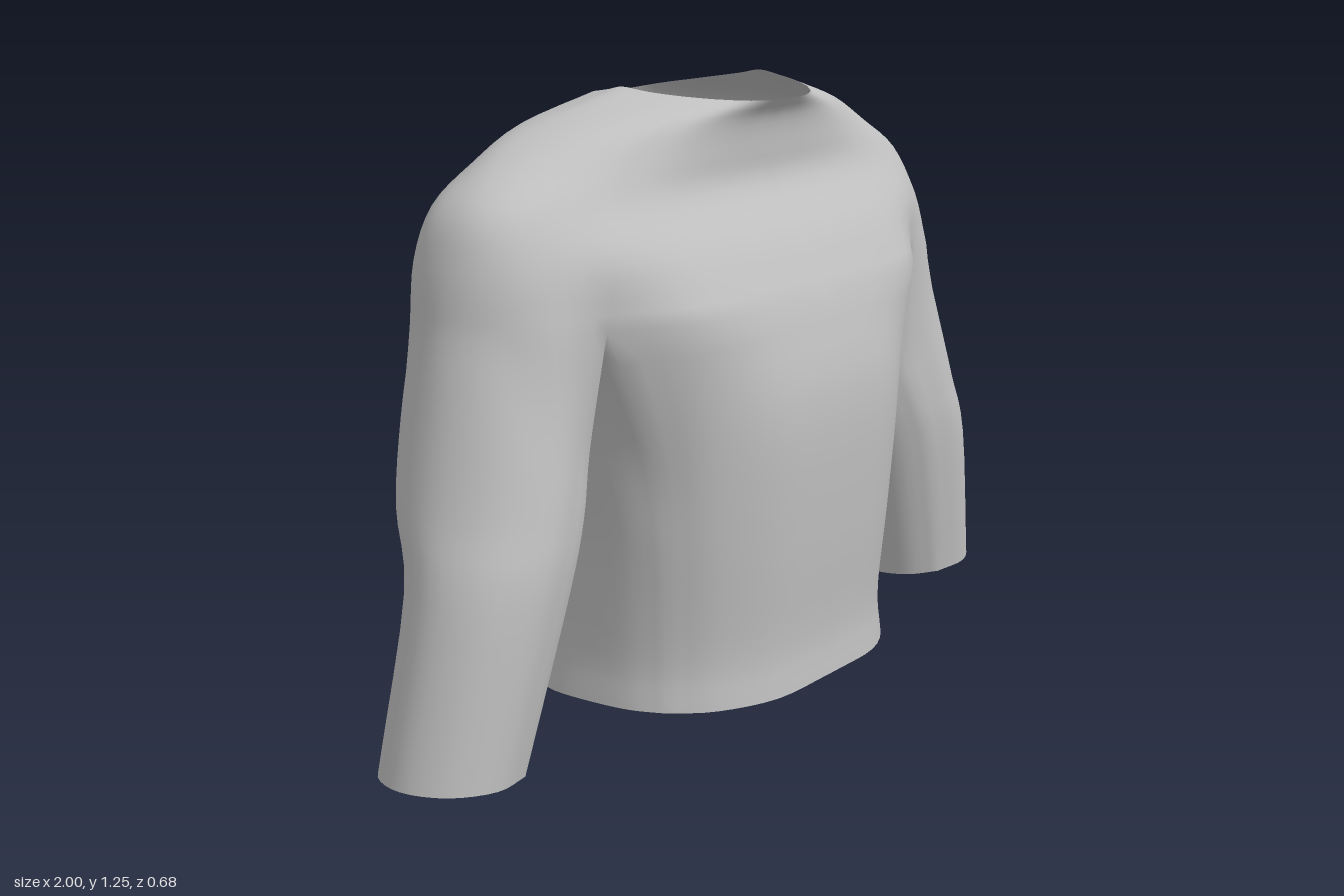
import * as THREE from 'three';
import { mergeVertices } from 'three/addons/utils/BufferGeometryUtils.js';

const V = (x, y, z) => new THREE.Vector3(x, y, z);
const STEPS = 4; // subdivisions between neighbouring control points

// Smooth a list of points into a finer list that passes through them
function refine(points) {
  return new THREE.CatmullRomCurve3(points, false, 'catmullrom', 0.5).getPoints((points.length - 1) * STEPS);
}

// Add a smooth patch (rows run top to bottom, columns front to back) and its mirror
function addPatch(rows, positions, left, right) {
  const fine = rows.map(refine);
  const columns = fine[0].map((_, c) => refine(fine.map((row) => row[c])));
  const n = columns[0].length;
  for (const side of [1, -1]) {
    const base = positions.length / 3;
    const out = side > 0 ? left : right;
    columns.forEach((col) => col.forEach((p) => positions.push(p.x * side, p.y, p.z)));
    for (let c = 0; c < columns.length - 1; c++) {
      for (let r = 0; r < n - 1; r++) {
        const a = base + c * n + r, b = a + n, d = a + 1, e = b + 1;
        if (side > 0) out.push(a, d, b, b, d, e);
        else out.push(a, b, d, b, e, d);
      }
    }
  }
}

// Half oval from front centre to back centre, with a shallow groove along the
// breastbone and a deeper one along the spine; warp gathers points at the sides
function halfOval({ y, lift = 0, width, mid, front, back, power = 1 }, spans, warp) {
  return Array.from({ length: spans + 1 }, (_, i) => {
    const flat = (Math.PI * i) / spans;
    const a = flat + warp * Math.sin(2 * flat);
    const c = Math.abs(Math.cos(a));
    const isFront = i <= spans / 2;
    const groove = 1 - (isFront ? 0.06 : 0.12) * c ** 20;
    const depth = (isFront ? front : -back) * groove * c ** power;
    const x = i === 0 || i === spans ? 0 : width * Math.sin(a);
    return V(x, y + lift * c, mid + depth);
  });
}

// Tilted sleeve ring: points 0-6 run round the outside, 6-10 return along the inside
function sleeveRing({ y, tilt, x, z, rx, rz }) {
  return Array.from({ length: 11 }, (_, i) => {
    const a = THREE.MathUtils.degToRad(i < 6 ? i * 40 - 30 : i * 30 + 30);
    return V(x + rx * Math.sin(a), y + tilt * Math.sin(a), z + rz * Math.cos(a));
  });
}

export function createModel() {
  // Neck opening down to armpit level, shoulders included
  const yoke = [
    { y: 1.252, lift: -0.03, width: 0.245, mid: -0.03, front: 0.245, back: 0.19, power: 1.1 },
    { y: 1.185, width: 0.475, mid: -0.07, front: 0.255, back: 0.175 },
    { y: 1.12, width: 0.625, mid: -0.06, front: 0.235, back: 0.225 },
    { y: 1.05, width: 0.725, mid: -0.04, front: 0.22, back: 0.28, power: 0.85 },
    { y: 0.95, width: 0.77, mid: -0.04, front: 0.295, back: 0.32, power: 0.9 },
    { y: 0.83, width: 0.793, mid: -0.04, front: 0.36, back: 0.33 },
  ].map((s) => halfOval(s, 12, 0));

  // Creases in front of and behind the arm, joined by the armpit arch
  const seam = yoke[yoke.length - 1];
  seam[3].z -= 0.045;
  seam[9].z += 0.04;
  const armpit = [1, 2, 3].map((i) => {
    const dip = Math.sin((Math.PI * i) / 4);
    return seam[3].clone().lerp(seam[9], i / 4).add(V(-0.06 * dip, -0.2 * dip, 0));
  });

  // Trunk from armpit level to the open waist
  const trunk = [
    [...seam.slice(0, 4), ...armpit, ...seam.slice(9)],
    ...[
      { y: 0.5, lift: 0.13, width: 0.467, mid: -0.02, front: 0.385, back: 0.33, power: 0.7 },
      { y: 0.35, width: 0.43, mid: -0.01, front: 0.365, back: 0.315, power: 0.7 },
      { y: 0.13, width: 0.412, mid: -0.01, front: 0.345, back: 0.27, power: 0.7 },
      { y: 0.02, width: 0.42, mid: 0, front: 0.34, back: 0.305, power: 0.7 },
    ].map((s) => halfOval(s, 10, 0.24)),
  ];

  // Sleeves from the armhole to the open cuff
  const sleeve = [
    [...seam.slice(3, 10), ...[...armpit].reverse(), seam[3]],
    ...[
      { y: 0.63, tilt: 0.05, x: 0.665, z: -0.02, rx: 0.167, rz: 0.187 },
      { y: 0.49, tilt: 0.02, x: 0.708, z: 0, rx: 0.172, rz: 0.182 },
      { y: 0.35, tilt: 0.01, x: 0.76, z: 0.035, rx: 0.165, rz: 0.15 },
      { y: 0.016, tilt: 0.01, x: 0.855, z: 0.02, rx: 0.145, rz: 0.135 },
    ].map(sleeveRing),
  ];

  const positions = [], torso = [], leftSleeve = [], rightSleeve = [];
  const cut = (rows, a, b) => rows.map((row) => row.slice(a, b + 1));
  for (const [a, b] of [[0, 3], [3, 9], [9, 12]]) addPatch(cut(yoke, a, b), positions, torso, torso);
  for (const [a, b] of [[0, 3], [3, 7], [7, 10]]) addPatch(cut(trunk, a, b), positions, torso, torso);
  for (const [a, b] of [[0, 6], [6, 10]]) addPatch(cut(sleeve, a, b), positions, leftSleeve, rightSleeve);

  // Weld everything so the shading runs smoothly across the seams
  let cloth = new THREE.BufferGeometry();
  cloth.setAttribute('position', new THREE.Float32BufferAttribute(positions, 3));
  cloth.setIndex([...torso, ...leftSleeve, ...rightSleeve]);
  cloth = mergeVertices(cloth, 1e-4);
  cloth.computeVertexNormals();

  const fabric = new THREE.MeshStandardMaterial({ color: 0xc0c0c0, side: THREE.DoubleSide });
  fabric.name = 'grey fabric';

  // Separate the welded surface into its named parts
  const group = new THREE.Group();
  group.name = 'shirt';
  const index = Array.from(cloth.index.array);
  for (const [name, faces] of Object.entries({ torso, leftSleeve, rightSleeve })) {
    const part = new THREE.BufferGeometry();
    part.setAttribute('position', cloth.attributes.position);
    part.setAttribute('normal', cloth.attributes.normal);
    part.setIndex(index.splice(0, faces.length));
    const mesh = new THREE.Mesh(part, fabric);
    mesh.name = name;
    group.add(mesh);
  }
  return group;
}
